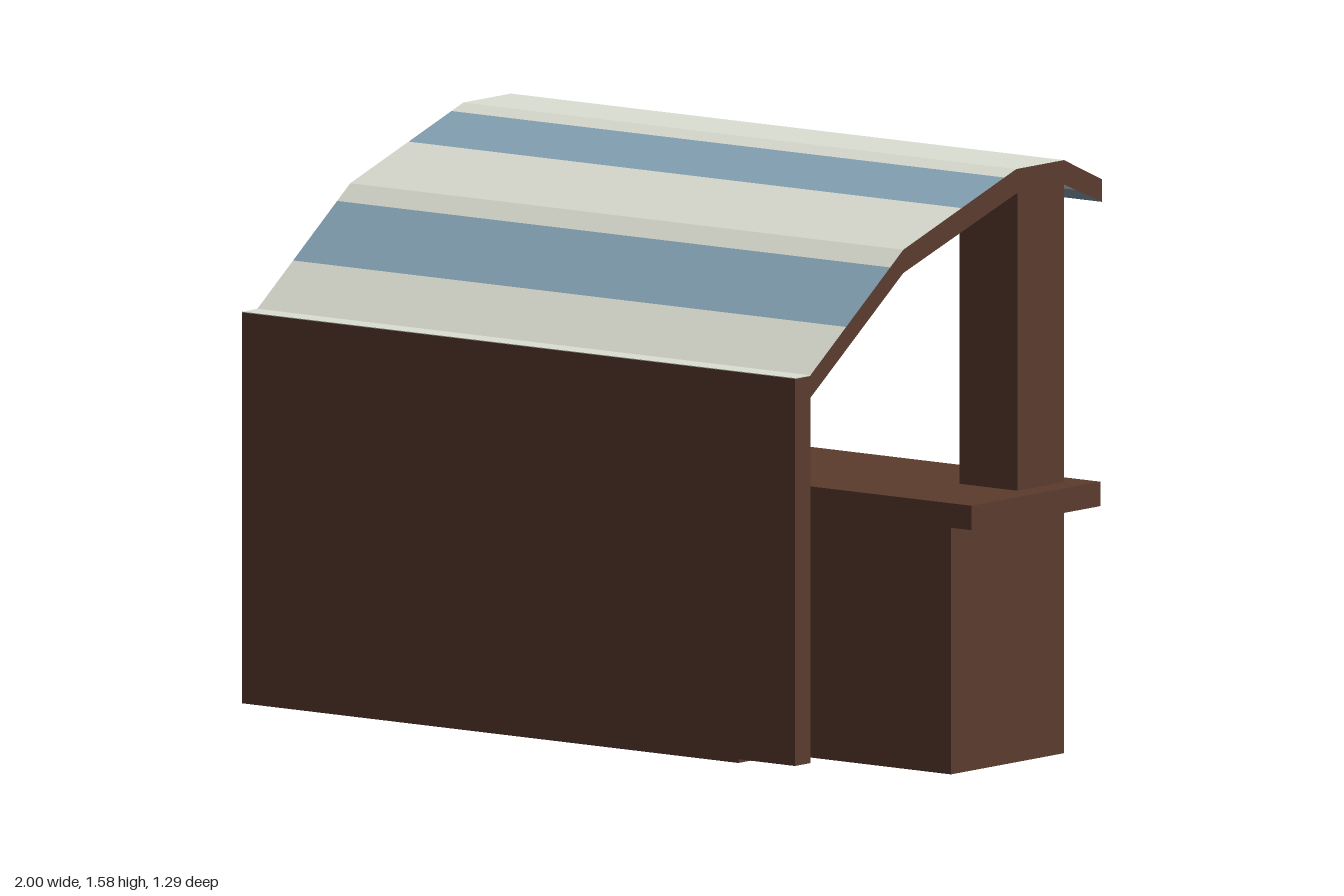
import * as THREE from 'three';

const brown = new THREE.MeshStandardMaterial({ color: 0x5c3c2e, side: THREE.DoubleSide });
brown.name = 'brownWood';
const cream = new THREE.MeshStandardMaterial({ color: 0xdcdfd3 });
cream.name = 'creamCloth';
const blue = new THREE.MeshStandardMaterial({ color: 0x86a4b7 });
blue.name = 'blueCloth';

const HALF = 0.93; // half width of the stall

// Roof cross-section from back to front: z, top y, bottom y
const PROFILE = [
  [-0.645, 1.505, 1.445],
  [-0.485, 1.575, 1.51],
  [-0.285, 1.575, 1.51],
  [0.19, 1.417, 1.355],
  [0.58, 1.13, 1.07],
];

// Roof section at any z
function sectionAt(z) {
  let i = 0;
  while (i < PROFILE.length - 2 && z > PROFILE[i + 1][0]) i++;
  const a = PROFILE[i], b = PROFILE[i + 1];
  const t = (z - a[0]) / (b[0] - a[0]);
  return [z, a[1] + (b[1] - a[1]) * t, a[2] + (b[2] - a[2]) * t];
}

// Box given by its limits
function box(name, x0, x1, y0, y1, z0, z1, material) {
  const mesh = new THREE.Mesh(new THREE.BoxGeometry(x1 - x0, y1 - y0, z1 - z0), material);
  mesh.position.set((x0 + x1) / 2, (y0 + y1) / 2, (z0 + z1) / 2);
  mesh.name = name;
  return mesh;
}

// One band of the roof: striped faces with brown ends
function roofStripe(z0, z1, material) {
  const rows = [sectionAt(z0), ...PROFILE.filter((p) => p[0] > z0 && p[0] < z1), sectionAt(z1)];
  const outline = [
    ...rows.map((r) => new THREE.Vector2(r[0], r[2])),
    ...rows.map((r) => new THREE.Vector2(r[0], r[1])).reverse(),
  ];
  const geometry = new THREE.ExtrudeGeometry(new THREE.Shape(outline), { depth: HALF * 2, bevelEnabled: false });
  geometry.rotateY(-Math.PI / 2).translate(HALF, 0, 0);
  const mesh = new THREE.Mesh(geometry, [brown, material]);
  mesh.name = 'roofStripe';
  return mesh;
}

export function createModel() {
  const model = new THREE.Group();
  model.name = 'marketStall';

  // Counter: hollow base, open underneath, with an overhanging top
  const base = box('counterBase', -HALF, HALF, 0, 0.655, -0.485, -0.01, brown);
  const faces = Array.from(base.geometry.index.array);
  faces.splice(18, 6); // drop the bottom face
  base.geometry.setIndex(faces);
  base.geometry.clearGroups();
  model.add(base, box('counterTop', -1, 1, 0.655, 0.72, -0.55, -0.01, brown));

  // Two posts carrying the roof
  for (const side of [-1, 1]) {
    const post = box('post', -0.0975, 0.0975, 0.72, 1.512, -0.485, -0.29, brown);
    post.position.x = side * (HALF - 0.0975);
    model.add(post);
  }

  // Front wall with a small step in its lower edge
  const wallShape = new THREE.Shape([
    [-HALF, 0.09], [0.74, 0.09], [0.74, 0.1], [HALF, 0.1], [HALF, 1.128], [-HALF, 1.128],
  ].map(([x, y]) => new THREE.Vector2(x, y)));
  const wall = new THREE.Mesh(
    new THREE.ExtrudeGeometry(wallShape, { depth: 0.065, bevelEnabled: false }), brown);
  wall.position.z = 0.58;
  wall.name = 'frontWall';
  model.add(wall, box('wallCap', -HALF, HALF, 1.128, 1.13, 0.58, 0.645, cream));

  // Striped roof
  const roof = new THREE.Group();
  roof.name = 'roof';
  const edges = [-0.645, -0.535, -0.235, -0.055, 0.245, 0.43, 0.58];
  for (let i = 0; i < edges.length - 1; i++) {
    roof.add(roofStripe(edges[i], edges[i + 1], i % 2 ? cream : blue));
  }
  model.add(roof);

  return model;
}
